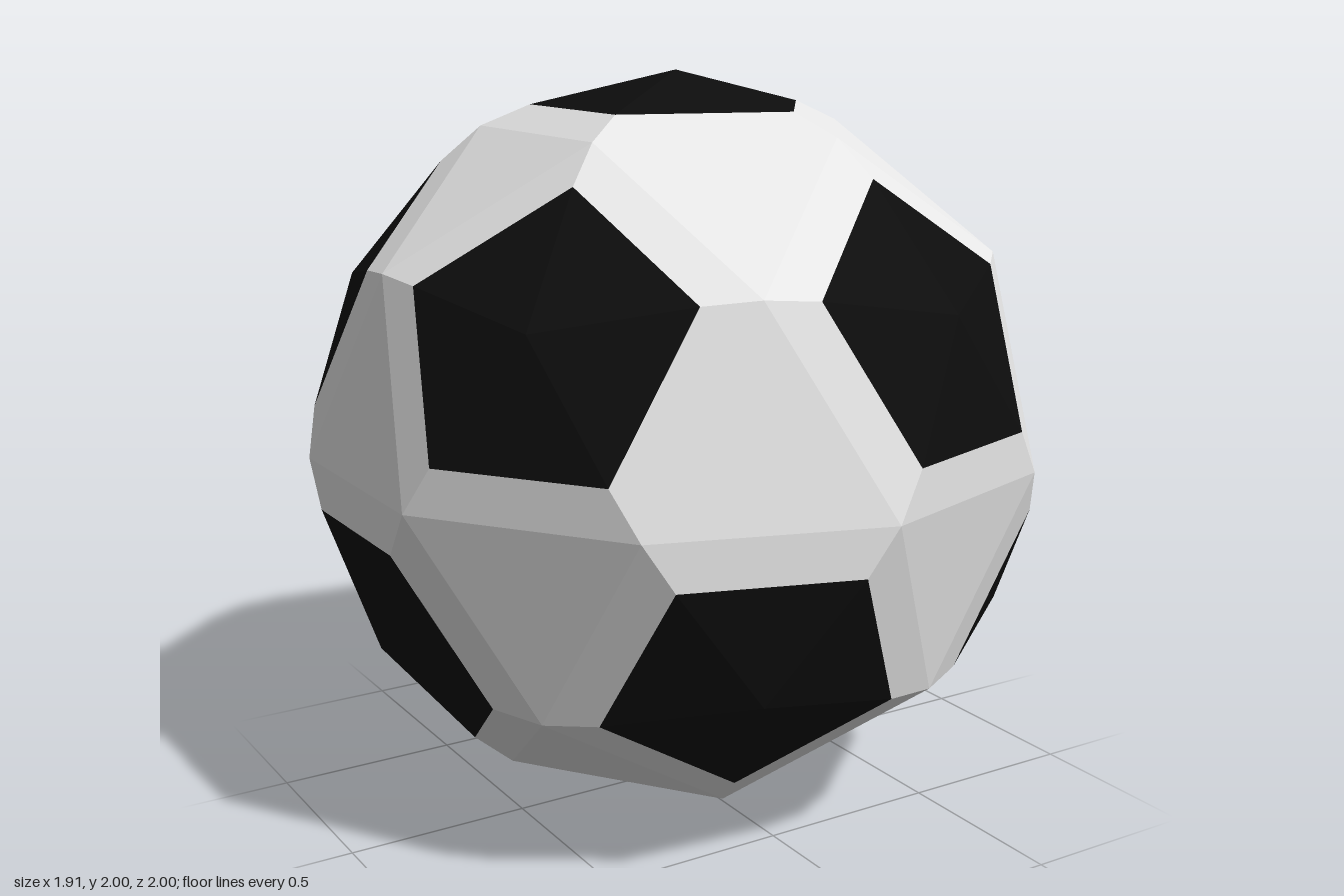
import * as THREE from 'three';

const CORNER_ARC = 0.735;   // how far a pentagon corner sits from its centre towards the seam midpoint
const CORNER_RADIUS = 0.988;

// Flat-faced mesh from a list of triangle corners
function panel(name, points, material) {
  const geometry = new THREE.BufferGeometry().setFromPoints(points);
  geometry.computeVertexNormals();
  const mesh = new THREE.Mesh(geometry, material);
  mesh.name = name;
  return mesh;
}

// The twelve pentagon centres: two poles and two staggered rings of five
function pentagonCentres() {
  const h = 1 / Math.sqrt(5), r = 2 / Math.sqrt(5);
  const list = [new THREE.Vector3(0, 1, 0), new THREE.Vector3(0, -1, 0)];
  for (let i = 0; i < 5; i++) {
    const a = (i * 2 * Math.PI) / 5;
    const p = new THREE.Vector3(r * Math.cos(a), h, r * Math.sin(a));
    list.push(p, p.clone().negate());
  }
  return list;
}

// Seam midpoint between two neighbouring pentagons, on the unit sphere
const midpoint = (a, b) => a.clone().add(b).normalize();

// Pentagon corner on the arc from centre a towards centre b
function corner(a, b) {
  const half = a.angleTo(b) / 2;
  const axis = a.clone().cross(b).normalize();
  return a.clone().applyAxisAngle(axis, half * CORNER_ARC).multiplyScalar(CORNER_RADIUS);
}

export function createModel() {
  const white = new THREE.MeshStandardMaterial({ color: 0xe7e7e7 });
  white.name = 'white leather';
  const black = new THREE.MeshStandardMaterial({ color: 0x0d0d0d });
  black.name = 'black leather';

  const ball = new THREE.Group();
  ball.name = 'ball';
  ball.position.y = 1;

  const centres = pentagonCentres();
  const adjacent = (a, b) => Math.abs(a.dot(b) - 1 / Math.sqrt(5)) < 0.01;
  const pentagons = centres.map(() => []);

  for (let i = 0; i < 12; i++) for (let j = i + 1; j < 12; j++) for (let k = j + 1; k < 12; k++) {
    const [p, q, s] = [centres[i], centres[j], centres[k]];
    if (!adjacent(p, q) || !adjacent(q, s) || !adjacent(s, p)) continue;
    // Order the corners counter-clockwise seen from outside
    const ids = p.clone().cross(q).dot(s) > 0 ? [i, j, k] : [i, k, j];

    // White hexagon: flat middle triangle plus a bevel strip along each pentagon
    const hexagon = ids.map((id, n) => midpoint(centres[id], centres[ids[(n + 1) % 3]]));
    ids.forEach((id, n) => {
      const a = centres[id], b = centres[ids[(n + 1) % 3]], c = centres[ids[(n + 2) % 3]];
      const cb = corner(a, b), cc = corner(a, c), mb = midpoint(a, b), mc = midpoint(a, c);
      hexagon.push(cb, mb, mc, cb, mc, cc);
      pentagons[id].push(a, cb, cc);   // one fifth of the black pentagon
    });
    ball.add(panel('whiteHexagon', hexagon, white));
  }

  // Black pentagons, slightly domed to the centre
  pentagons.forEach((points) => ball.add(panel('blackPentagon', points, black)));

  const model = new THREE.Group();
  model.name = 'football';
  model.add(ball);
  return model;
}
